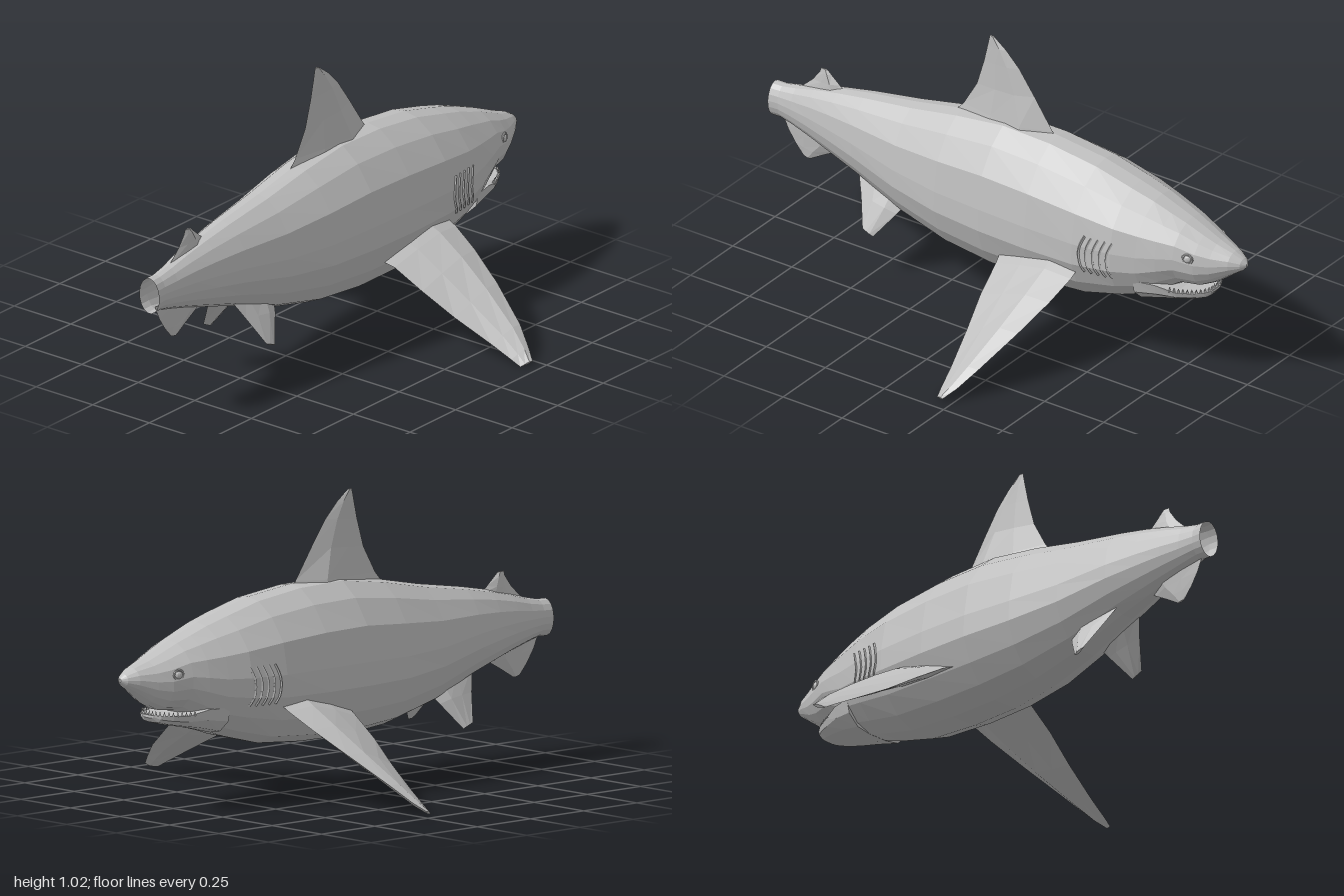
import * as THREE from 'three';

const grey = new THREE.MeshStandardMaterial({ color: 0xbfbfbf, flatShading: true, side: THREE.DoubleSide });
grey.name = 'skin grey';
const V = (x, y, z) => new THREE.Vector3(x, y, z);

// Skin a list of equal-length rings, optionally closing either end
function loft(rings, capStart, capEnd) {
  const n = rings[0].length, pos = [], idx = [];
  rings.forEach(r => r.forEach(p => pos.push(p.x, p.y, p.z)));
  for (let i = 0; i < rings.length - 1; i++) {
    for (let j = 0; j < n; j++) {
      const a = i * n + j, b = i * n + (j + 1) % n;
      idx.push(a, a + n, b, b, a + n, b + n);
    }
  }
  const last = (rings.length - 1) * n;
  for (let j = 1; j < n - 1; j++) {
    if (capStart) idx.push(0, j, j + 1);
    if (capEnd) idx.push(last, last + j + 1, last + j);
  }
  const g = new THREE.BufferGeometry();
  g.setAttribute('position', new THREE.Float32BufferAttribute(pos, 3));
  g.setIndex(idx);
  g.computeVertexNormals();
  return g;
}

// Body stations: z, top y, bottom y, half width
const stations = [
  [-1, 0.485, 0.472, 0.006], [-0.985, 0.5, 0.455, 0.026], [-0.95, 0.52, 0.43, 0.05],
  [-0.89, 0.543, 0.385, 0.08], [-0.84, 0.565, 0.36, 0.103], [-0.77, 0.595, 0.353, 0.126],
  [-0.71, 0.617, 0.315, 0.146], [-0.64, 0.643, 0.268, 0.166], [-0.55, 0.668, 0.238, 0.19],
  [-0.4, 0.705, 0.2, 0.206], [-0.2, 0.728, 0.185, 0.208], [0, 0.731, 0.183, 0.2],
  [0.2, 0.702, 0.2, 0.18], [0.4, 0.662, 0.245, 0.147], [0.6, 0.63, 0.315, 0.11],
  [0.72, 0.607, 0.35, 0.086], [0.82, 0.583, 0.38, 0.066], [0.9, 0.56, 0.402, 0.051],
  [0.96, 0.547, 0.416, 0.043], [1, 0.546, 0.414, 0.044],
];
const half = [[0, 1], [0.25, 0.97], [0.58, 0.78], [0.88, 0.45], [0.98, 0], [1, -0.3], [0.85, -0.63], [0.62, -0.88], [0.25, -1]];

// Right-hand half of a section, rounder towards the ends
function halfSection([z, top, bottom, w]) {
  const t = Math.min(1, Math.abs(z)) ** 2, mid = (top + bottom) / 2, h = (top - bottom) / 2;
  return half.map(([u, v], i) => {
    const a = i * Math.PI / 8.5;
    return V(w * THREE.MathUtils.lerp(u, Math.sin(a), t), mid + h * THREE.MathUtils.lerp(v, Math.cos(a), t), z);
  });
}
const mirrorX = p => V(-p.x, p.y, p.z);
function closeRing(pts) {
  return [...pts, ...pts.slice(1).reverse().map(mirrorX)];
}

// Point on the flank at a given z and y
function onSkin(z, y) {
  const i = Math.max(1, stations.findIndex(s => s[0] >= z));
  const a = stations[i - 1], b = stations[i], t = (z - a[0]) / (b[0] - a[0]);
  const pts = halfSection(a.map((v, k) => v + (b[k] - v) * t));
  const j = Math.max(1, pts.findIndex(p => p.y <= y));
  const p = pts[j - 1], q = pts[j];
  return V(p.x + (q.x - p.x) * (p.y - y) / (p.y - q.y), y, z);
}

// Fin from sections [leading edge, trailing edge, half thickness], root to tip
function finGeometry(sections) {
  const first = sections[0], end = sections[sections.length - 1];
  const span = end[0].clone().add(end[1]).sub(first[0]).sub(first[1]);
  const side = span.cross(first[1].clone().sub(first[0])).normalize();
  return loft(sections.map(([lead, trail, t]) => {
    const at = (k, s) => lead.clone().lerp(trail, k).addScaledVector(side, s * t);
    return [lead, at(0.3, 1), at(0.65, 0.65), trail, at(0.65, -0.65), at(0.3, -1)];
  }), true, true);
}

export function createModel() {
  const model = new THREE.Group();
  model.name = 'shark';
  const add = (name, geometry, parent = model) => {
    const m = new THREE.Mesh(geometry, grey);
    m.name = name;
    parent.add(m);
    return m;
  };

  // Hollow body, open at the tail stump
  add('body', loft(stations.map(s => closeRing(halfSection(s))), true, false));

  // Lower jaw: flat-topped scoop under the snout. z, top, bottom, half width
  const jaw = [
    [-0.868, 0.345, 0.335, 0.03], [-0.855, 0.345, 0.318, 0.055], [-0.82, 0.343, 0.308, 0.083],
    [-0.77, 0.343, 0.298, 0.108], [-0.7, 0.36, 0.283, 0.132], [-0.62, 0.36, 0.262, 0.15],
  ];
  const scoop = [[0, 0], [1, 0], [0.93, -0.5], [0.65, -0.9], [0.25, -1]];
  add('lowerJaw', loft(jaw.map(([z, top, bottom, w]) =>
    closeRing(scoop.map(([u, v]) => V(u * w, top + v * (top - bottom), z)))), true, true));

  // Teeth along the rim of the jaw
  const rim = new THREE.CatmullRomCurve3([
    V(-0.11, 0.345, -0.75), V(-0.077, 0.345, -0.82), V(-0.04, 0.347, -0.857), V(0, 0.347, -0.862),
    V(0.04, 0.347, -0.857), V(0.077, 0.345, -0.82), V(0.11, 0.345, -0.75)]);
  const teeth = new THREE.Group();
  teeth.name = 'teeth';
  model.add(teeth);
  rim.getSpacedPoints(22).forEach(p =>
    add('tooth', new THREE.ConeGeometry(0.006, 0.018, 4), teeth).position.copy(p).add(V(0, 0.006, 0)));

  // Fins on the centre line: [lead z, lead y, trail z, trail y, half thickness]
  const centreFin = (name, rows) => add(name, finGeometry(
    rows.map(([lz, ly, tz, ty, t]) => [V(0, ly, lz), V(0, ty, tz), t])));
  centreFin('dorsalFin', [
    [-0.2, 0.7, 0.25, 0.67, 0.05], [-0.175, 0.735, 0.2, 0.725, 0.042], [-0.1, 0.845, 0.145, 0.82, 0.021],
    [-0.035, 0.935, 0.115, 0.92, 0.013], [0.02, 0.99, 0.1, 0.985, 0.008], [0.07, 1.027, 0.09, 1.03, 0.004]]);
  centreFin('secondDorsalFin', [
    [0.69, 0.59, 0.9, 0.55, 0.018], [0.725, 0.617, 0.84, 0.605, 0.014], [0.76, 0.647, 0.81, 0.645, 0.009],
    [0.775, 0.661, 0.805, 0.662, 0.004]]);
  centreFin('analFin', [
    [0.7, 0.38, 0.97, 0.43, 0.022], [0.74, 0.348, 0.945, 0.375, 0.016], [0.8, 0.315, 0.915, 0.33, 0.01],
    [0.85, 0.285, 0.88, 0.29, 0.004]]);

  // Paired parts on each flank
  const pectoral = [
    [[0.13, 0.375, -0.41], [0.13, 0.31, -0.06], 0.034], [[0.22, 0.33, -0.41], [0.21, 0.28, -0.085], 0.032],
    [[0.32, 0.275, -0.39], [0.32, 0.215, -0.1], 0.03], [[0.45, 0.2, -0.35], [0.44, 0.14, -0.128], 0.025],
    [[0.6, 0.105, -0.29], [0.58, 0.065, -0.16], 0.016], [[0.67, 0.05, -0.25], [0.655, 0.025, -0.173], 0.011],
    [[0.712, 0.02, -0.22], [0.69, 0.005, -0.18], 0.006]];
  const pelvic = [
    [[0.045, 0.31, 0.38], [0.04, 0.36, 0.62], 0.02], [[0.09, 0.25, 0.42], [0.085, 0.275, 0.575], 0.015],
    [[0.14, 0.162, 0.485], [0.14, 0.18, 0.53], 0.005]];
  for (const [label, s] of [['left', 1], ['right', -1]]) {
    const flip = p => V(s * p[0], p[1], p[2]);
    const paired = (name, rows) => add(label + name, finGeometry(rows.map(([a, b, t]) => [flip(a), flip(b), t])));
    paired('PectoralFin', pectoral);
    paired('PelvicFin', pelvic);

    // Eye with raised lid ring
    const eye = new THREE.Group();
    eye.name = label + 'Eye';
    const e = onSkin(-0.82, 0.49);
    eye.position.set(s * e.x, e.y, e.z);
    eye.rotation.y = s * (Math.PI / 2 + 0.3);
    add('eyelid', new THREE.TorusGeometry(0.018, 0.004, 6, 14), eye);
    add('eyeball', new THREE.SphereGeometry(0.014, 12, 8), eye).scale.z = 0.6;
    model.add(eye);

    // Gill ridges
    for (let i = 0; i < 5; i++) {
      const z = -0.545 + i * 0.027, pts = [];
      for (let k = 0; k <= 6; k++) {
        const p = onSkin(z + 0.02 * Math.sin(k / 6 * Math.PI) - 0.01, 0.36 + k * 0.023);
        p.x *= s;
        pts.push(p);
      }
      add(label + 'Gill', new THREE.TubeGeometry(new THREE.CatmullRomCurve3(pts), 10, 0.0045, 4));
    }
  }
  return model;
}
